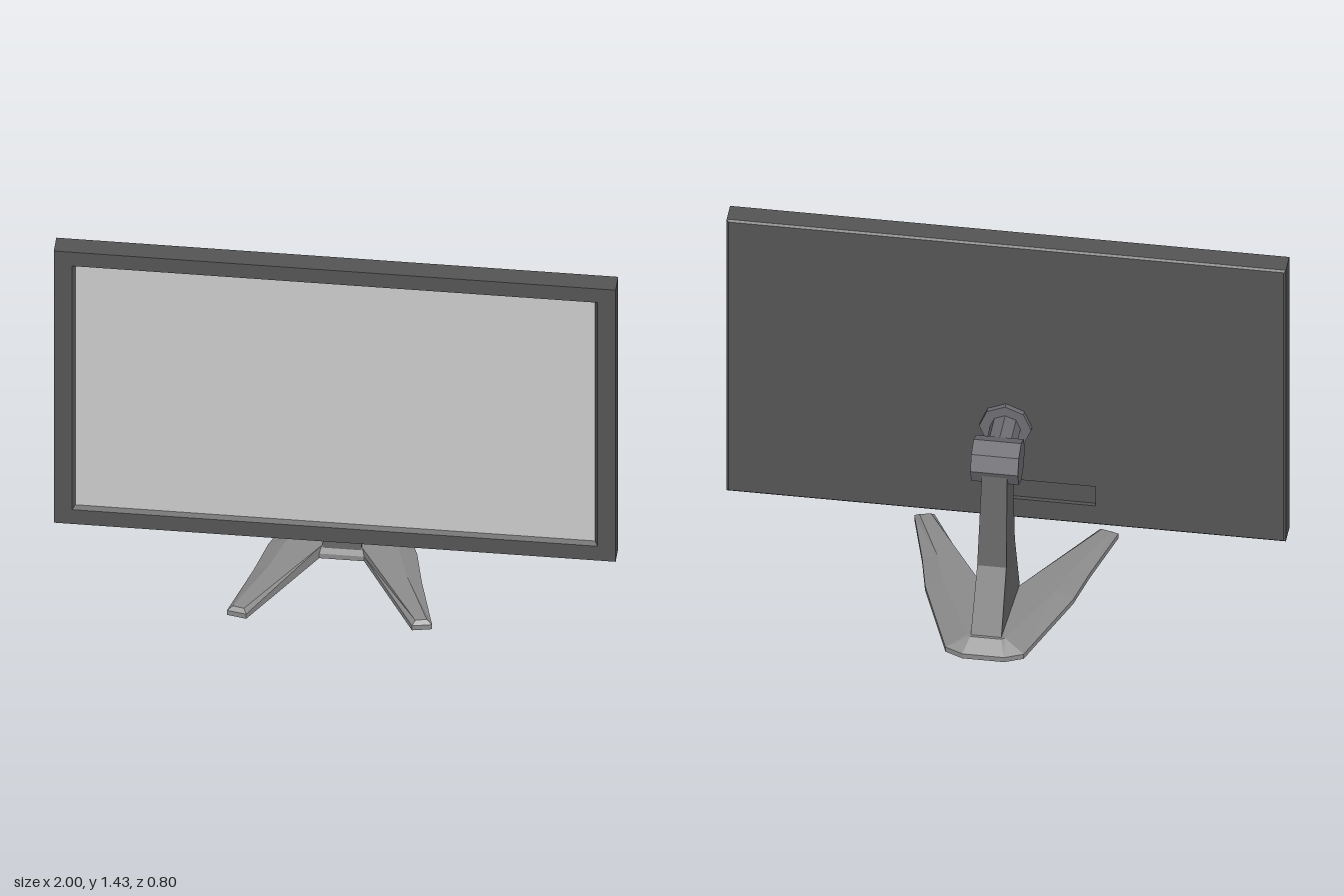
import * as THREE from 'three';

const material = (color) => new THREE.MeshStandardMaterial({ color, flatShading: true });

// Skins a list of equal-length rings; caps are triangles of ring indices
function loft(rings, { start = [], end = [] }) {
  const pos = [];
  const tri = (...pts) => pts.forEach((p) => pos.push(...p));
  for (let i = 0; i < rings.length - 1; i++) {
    const [r, s] = [rings[i], rings[i + 1]];
    r.forEach((a, j) => {
      const k = (j + 1) % r.length;
      tri(a, r[k], s[k]);
      tri(a, s[k], s[j]);
    });
  }
  const first = rings[0], last = rings[rings.length - 1];
  start.forEach(([a, b, c]) => tri(first[a], first[c], first[b]));
  end.forEach(([a, b, c]) => tri(last[a], last[b], last[c]));
  const geo = new THREE.BufferGeometry();
  geo.setAttribute('position', new THREE.Float32BufferAttribute(pos, 3));
  geo.computeVertexNormals();
  return geo;
}

const quad = [[0, 1, 2], [0, 2, 3]];

export function createModel() {
  const group = new THREE.Group();
  const dark = material(0x555555), metal = material(0x646464);
  const joint = material(0x6e6e73), foot = material(0x8c8c8c), glass = material(0xcccccc);
  const add = (name, geo, mat, x = 0, y = 0, z = 0) => {
    const mesh = new THREE.Mesh(geo, mat);
    mesh.name = name;
    mesh.position.set(x, y, z);
    group.add(mesh);
    return mesh;
  };

  // Panel housing: bevelled opening, front, sides, chamfered back, port recess
  const rect = (x0, x1, y0, y1, z) => [[x0, y0, z], [x0, y1, z], [x1, y1, z], [x1, y0, z]];
  add('panelHousing', loft([
    rect(-0.925, 0.925, 0.308, 1.364, 0.205),
    rect(-0.935, 0.935, 0.298, 1.374, 0.222),
    rect(-1, 1, 0.235, 1.435, 0.222),
    rect(-1, 1, 0.235, 1.435, 0.143),
    rect(-0.993, 0.993, 0.242, 1.428, 0.136),
    rect(-0.32, 0.06, 0.32, 0.405, 0.136),
    rect(-0.32, 0.06, 0.32, 0.405, 0.152),
  ], { end: quad }), dark);
  add('screen', new THREE.PlaneGeometry(1.85, 1.056), glass, 0, 0.836, 0.205);

  // Pivot: mounting plate and neck along z, hinge barrel along x
  const octagon = (name, r0, r1, length, y, z) =>
    add(name, new THREE.CylinderGeometry(r0, r1, length, 8), joint, 0, y, z);
  octagon('mountingPlate', 0.093, 0.093, 0.022, 0.643, 0.127).rotation.x = Math.PI / 2;
  octagon('neck', 0.055, 0.055, 0.17, 0.643, 0.04).rotation.x = Math.PI / 2;
  octagon('hingeBarrel', 0.082, 0.082, 0.17, 0.637, -0.065).rotation.z = Math.PI / 2;

  // Column: rows of height, front z, front half width, back z, back half width
  const column = [
    [0.04, 0, 0.07, -0.345, 0.055],
    [0.266, -0.025, 0.056, -0.2, 0.052],
    [0.63, -0.025, 0.048, -0.135, 0.045],
  ].map(([y, zf, wf, zb, wb]) => [[-wb, y, zb], [-wf, y, zf], [wf, y, zf], [wb, y, zb]]);
  add('column', loft(column, { start: quad, end: quad }), metal);

  // V-shaped foot: mirrored outline, short upright edge, bevel to a sloping top
  const outline = [[0.075, -0.4], [0.14, -0.37], [0.265, -0.025], [0.3, 0.135],
    [0.365, 0.38], [0.295, 0.395], [0.08, 0.01]];
  const topOutline = [[0.055, -0.345], [0.068, -0.335], [0.2, -0.02], [0.245, 0.13],
    [0.345, 0.37], [0.305, 0.38], [0.072, -0.005]];
  const footRing = (half, height) => {
    const mirrored = half.map(([x, z]) => [-x, z]).reverse();
    return [...half, ...mirrored].reverse().map(([x, z]) => [x, height(z), z]);
  };
  const rings = [
    footRing(outline, () => 0),
    footRing(outline, () => 0.02),
    footRing(topOutline, (z) => 0.0465 - 0.033 * z),
  ];
  const cap = (ring) => THREE.ShapeUtils.triangulateShape(
    ring.map(([x, , z]) => new THREE.Vector2(z, x)), []);
  add('foot', loft(rings, { start: cap(rings[0]), end: cap(rings[2]) }), foot);

  return group;
}
